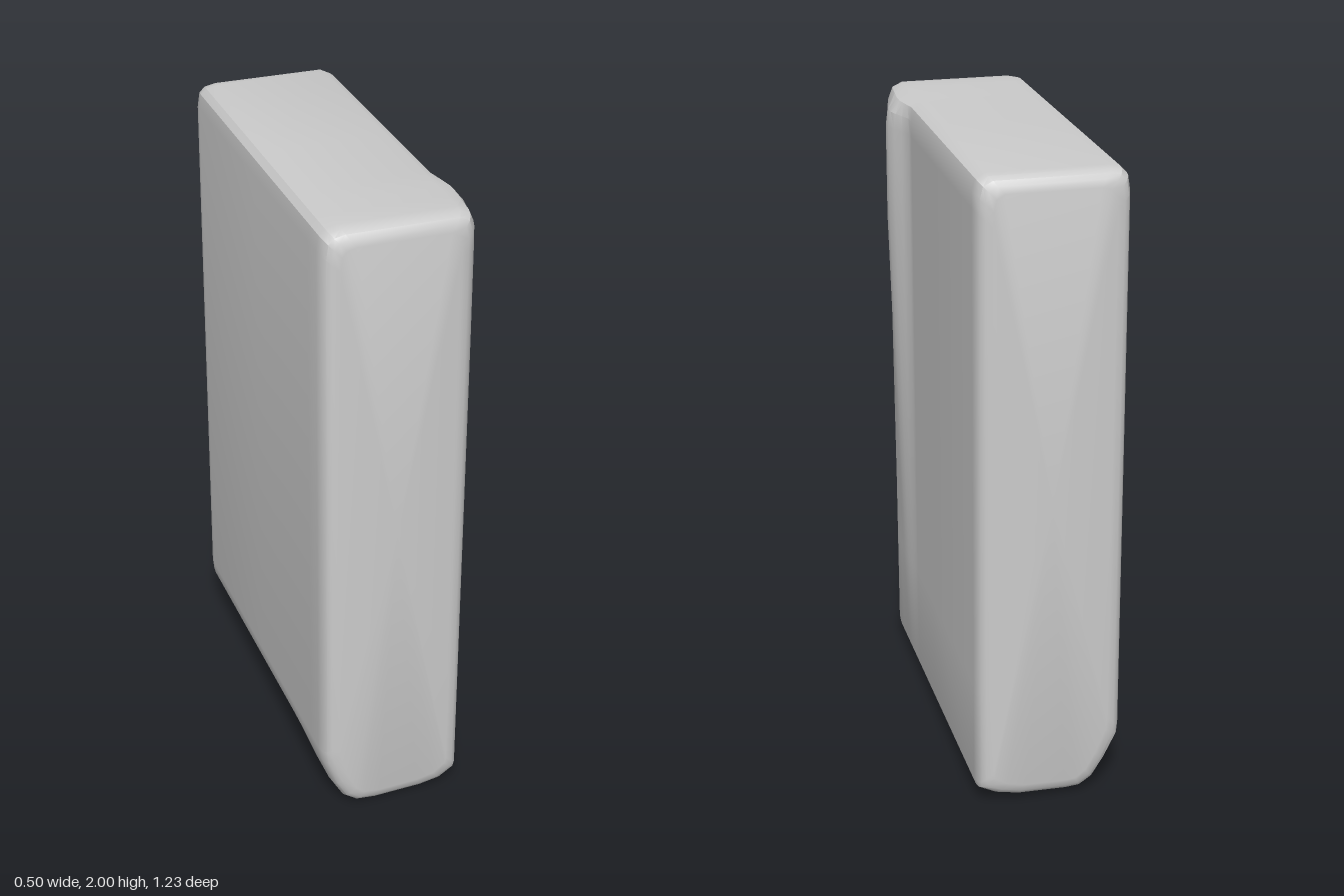
import * as THREE from 'three';
import { toCreasedNormals } from 'three/addons/utils/BufferGeometryUtils.js';

const lerp = THREE.MathUtils.lerp;

// piecewise-linear lookup through [position, value] pairs in rising order
function ramp(pairs, t) {
  if (t <= pairs[0][0]) return pairs[0][1];
  for (let i = 1; i < pairs.length; i++) {
    const [a, va] = pairs[i - 1], [b, vb] = pairs[i];
    if (t <= b) return lerp(va, vb, (t - a) / (b - a));
  }
  return pairs[pairs.length - 1][1];
}

// side ridge: strength along the depth and along the height
const RIDGE_Z = [[0.28, 0], [0.35, 0.033], [0.38, 0.045], [0.42, 0.045], [0.6, 0]];
const RIDGE_Y = [[0.06, 0], [1.6, 1], [1.9, 1], [1.95, 0.8], [1.985, 0.4], [2, 0]];
// lower edge: fuller at the front than over the rest of the depth
const KEEL_Z = [[0.24, 0], [0.4, 1], [0.62, 1]];

// outline at depth z, counter-clockwise seen from the front
function outline(z) {
  const ridge = ramp(RIDGE_Z, z), keel = ramp(KEEL_Z, z);
  const side = [[0.2, 0.05], [0.205, 0.07], [0.205, 0.4], [0.205, 0.8], [0.205, 1.2], [0.205, 1.6],
    [0.205, 1.9], [0.205, 1.95], [0.195, 1.985], [0.165, 2]];
  const pts = side.map(([x, y]) => [x + ridge * ramp(RIDGE_Y, y), y]);
  // top edge and the plain side
  pts.push([-0.19, 2], [-0.225, 1.993], [-0.243, 1.975], [-0.25, 1.93], [-0.25, 0.22], [-0.246, 0.18]);
  // bevelled lower edge and underside
  pts.push(
    [lerp(-0.205, -0.215, keel), lerp(0.1, 0.09, keel)],
    [lerp(-0.165, -0.18, keel), lerp(0.04, 0.03, keel)],
    [lerp(-0.125, -0.145, keel), lerp(0.014, 0.006, keel)],
    [-0.08, lerp(0.01, 0, keel)],
    [0.08, lerp(0.013, 0.006, keel)],
    [0.15, lerp(0.026, 0.018, keel)]
  );
  return pts;
}

function bodyGeometry() {
  // [depth, inset] of each cross-section, rounded at both ends
  const sections = [[-0.615, 0.048], [-0.609, 0.026], [-0.598, 0.012], [-0.578, 0.003], [-0.55, 0], [0, 0],
    [0.24, 0], [0.28, 0], [0.315, 0], [0.35, 0], [0.38, 0], [0.42, 0], [0.48, 0], [0.55, 0],
    [0.578, 0.003], [0.598, 0.012], [0.609, 0.026], [0.615, 0.048]];
  const pos = [], index = [];
  let n = 0;
  for (const [z, inset] of sections) {
    const pts = outline(z);
    n = pts.length;
    for (const [x, y] of pts) {
      pos.push(-0.022 + (x + 0.022) * (1 - inset / 0.227), 1 + (y - 1) * (1 - inset), z);
    }
  }
  const last = (sections.length - 1) * n;
  for (let s = 0; s < last; s += n) {
    for (let i = 0; i < n; i++) {
      const j = (i + 1) % n;
      index.push(s + i, s + j, s + n + j, s + i, s + n + j, s + n + i);
    }
  }
  // flat end faces
  const back = pos.length / 3;
  pos.push(-0.022, 1, -0.615, -0.022, 1, 0.615);
  for (let i = 0; i < n; i++) {
    const j = (i + 1) % n;
    index.push(back, j, i, back + 1, last + i, last + j);
  }
  const g = new THREE.BufferGeometry();
  g.setAttribute('position', new THREE.Float32BufferAttribute(pos, 3));
  g.setIndex(index);
  return toCreasedNormals(g, 0.5);
}

export function createModel() {
  const group = new THREE.Group();
  group.name = 'slab';
  const body = new THREE.Mesh(bodyGeometry(), new THREE.MeshStandardMaterial({ color: 0xcccccc }));
  body.name = 'body';
  group.add(body);
  return group;
}
